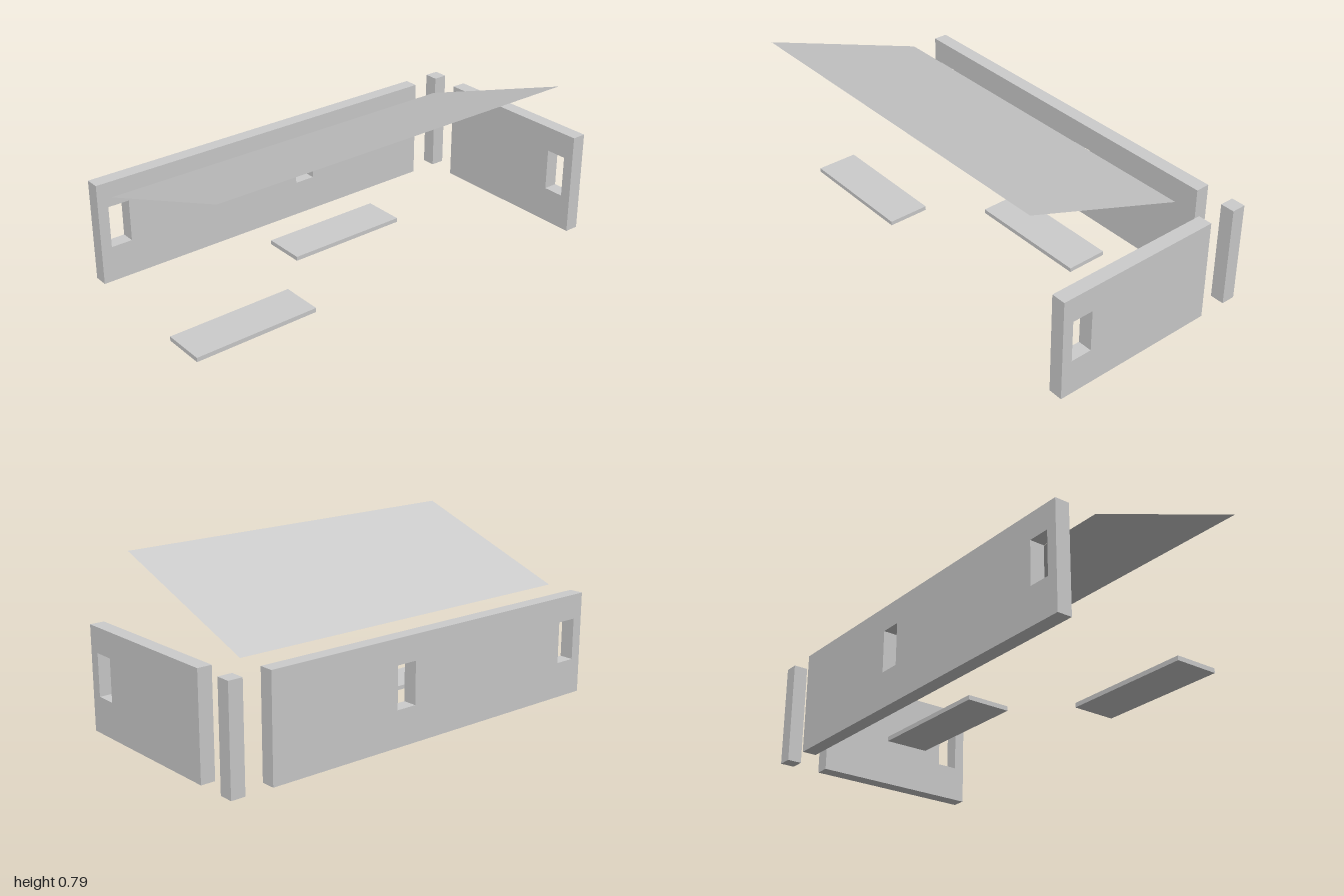
import * as THREE from 'three';

const BASE = 0.022, TOP = 0.5, THICK = 0.067;
const SILL = 0.189, LINTEL = 0.384;

export function createModel() {
  const model = new THREE.Group();
  const material = new THREE.MeshStandardMaterial({ color: 0xcccccc, flatShading: true });

  const add = (name, geometry, mat = material) => {
    const mesh = new THREE.Mesh(geometry, mat);
    mesh.name = name;
    model.add(mesh);
    return mesh;
  };

  // Box given by its opposite corners
  const block = (name, x0, x1, y0, y1, z0, z1) =>
    add(name, new THREE.BoxGeometry(x1 - x0, y1 - y0, z1 - z0))
      .position.set((x0 + x1) / 2, (y0 + y1) / 2, (z0 + z1) / 2);

  // Upright wall from u0 to u1, with a window opening starting at each given u
  const wallGeometry = (u0, u1, windows) => {
    const shape = new THREE.Shape()
      .moveTo(u0, BASE).lineTo(u1, BASE).lineTo(u1, TOP).lineTo(u0, TOP).closePath();
    for (const u of windows) {
      shape.holes.push(new THREE.Path()
        .moveTo(u, SILL).lineTo(u, LINTEL).lineTo(u + 0.1, LINTEL).lineTo(u + 0.1, SILL).closePath());
    }
    return new THREE.ExtrudeGeometry(shape, { depth: THICK, bevelEnabled: false });
  };

  // Back wall with one window
  add('backWall', wallGeometry(-0.3, 0.5, [0.35])).position.z = -1;

  // Long side wall with two windows, turned so its length runs along z
  const side = add('sideWall', wallGeometry(-1, 0.8, [-0.95, 0.05]));
  side.rotation.y = Math.PI / 2;
  side.position.x = -0.5;

  // Separate corner post
  block('cornerPost', -0.5, -0.5 + THICK, BASE, TOP, -1, -1 + THICK);

  // Two floor slabs
  block('frontFloorSlab', 0.1, 0.3, 0, 0.02, 0.4, 1);
  block('rearFloorSlab', -0.3, -0.1, 0, 0.02, -0.4, 0.2);

  // Thin sloping roof sheet
  const run = 0.8, rise = 0.288;
  const roofMaterial = material.clone();
  roofMaterial.side = THREE.DoubleSide;
  const roofGeometry = new THREE.PlaneGeometry(Math.hypot(run, rise), 1.8)
    .rotateX(-Math.PI / 2)
    .rotateZ(Math.atan2(rise, run));
  add('roof', roofGeometry, roofMaterial).position.set(0.1, TOP + rise / 2, 0.1);

  return model;
}
